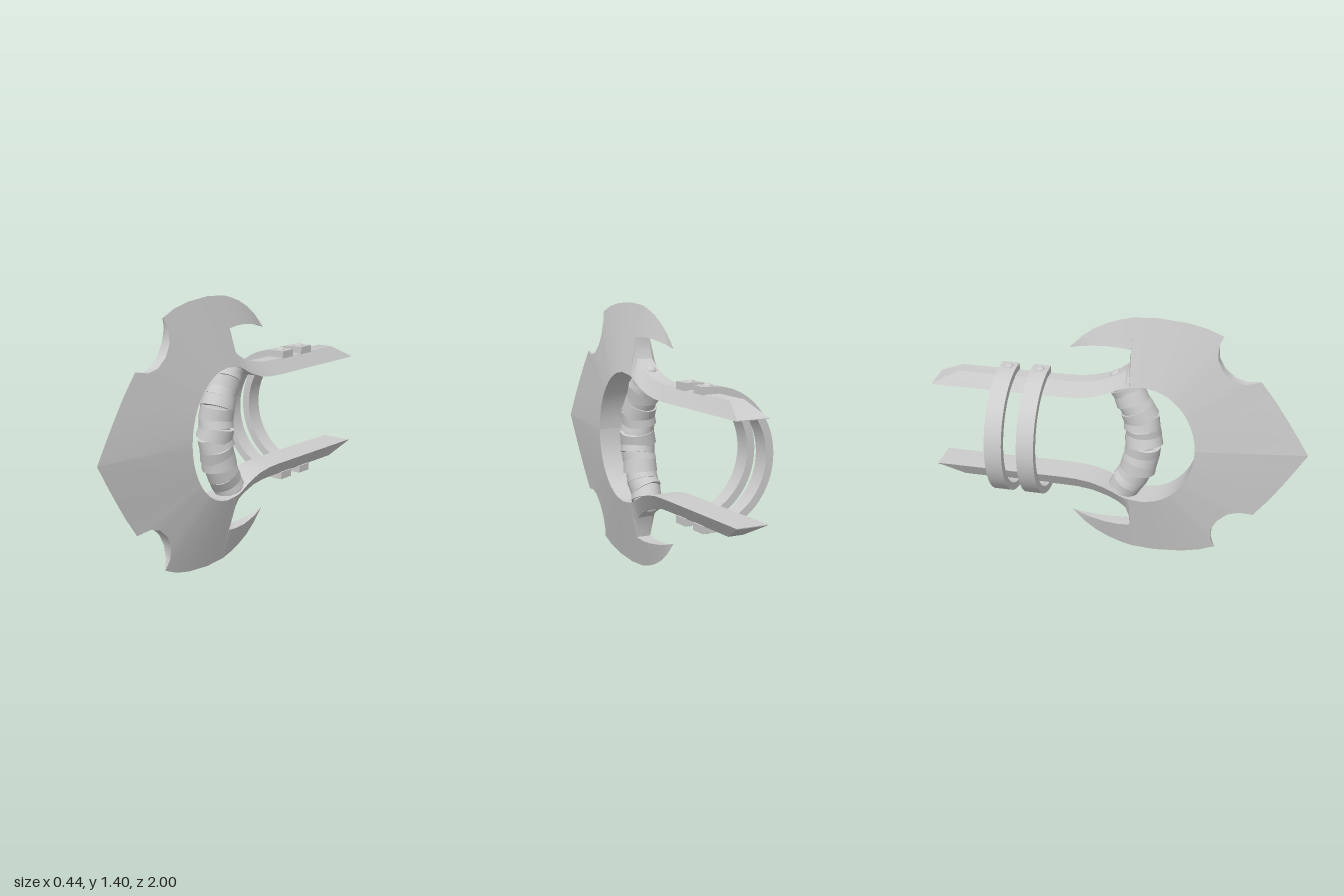
import * as THREE from 'three';
import { toCreasedNormals } from 'three/addons/utils/BufferGeometryUtils.js';

const CX = 0.125, CY = 0.702; // plane of the blade and its mirror height
const FULL = 0.085;           // half thickness at the grip opening

// Loft of four-cornered sections [innerZ, innerY, innerHalf, outerZ, outerY, outerHalf]
function loft(sections, mirrored) {
  const pos = [], index = [];
  for (const [iz, iy, ih, oz, oy, oh] of sections) {
    const m = (y) => (mirrored ? 2 * CY - y : y);
    pos.push(CX + ih, m(iy), iz, CX + oh, m(oy), oz, CX - oh, m(oy), oz, CX - ih, m(iy), iz);
  }
  const tri = (a, b, c) => (mirrored ? index.push(a, c, b) : index.push(a, b, c));
  const last = (sections.length - 1) * 4;
  for (let s = 0; s < last; s += 4) {
    for (let k = 0; k < 4; k++) {
      const n = (k + 1) % 4;
      tri(s + k, s + 4 + k, s + n);
      tri(s + n, s + 4 + k, s + 4 + n);
    }
  }
  tri(0, 1, 2); tri(0, 2, 3);
  tri(last, last + 2, last + 1); tri(last, last + 3, last + 2);
  const g = new THREE.BufferGeometry();
  g.setAttribute('position', new THREE.Float32BufferAttribute(pos, 3));
  g.setIndex(index);
  return toCreasedNormals(g, 0.5);
}

// Front blade: [z, y, half thickness] of the rim, with the angle on the oval opening
const rim = [
  [1, 0.702, 0, 0], [0.945, 0.795, 0, 8], [0.89, 0.883, 0, 16], [0.82, 0.99, 0, 24], [0.735, 1.1, 0.002, 32],
  [0.66, 1.086, 0.018, 38], [0.6, 1.102, 0.025, 43], [0.545, 1.15, 0.027, 48], [0.515, 1.21, 0.024, 53],
  [0.512, 1.28, 0.014, 57], [0.535, 1.333, 0.002, 60], [0.45, 1.368, 0, 67], [0.35, 1.39, 0, 75],
  [0.2, 1.402, 0, 88], [0.07, 1.394, 0, 101.9],
];
const bladeSections = rim.map(([z, y, h, deg]) => {
  const a = THREE.MathUtils.degToRad(deg);
  return [0.13 + 0.29 * Math.cos(a), CY + 0.345 * Math.sin(a), FULL, z, y, h];
});

// Rear hook sweeping to a point
const hookSections = [
  [0.07, 1.232, 0.04, 0.07, 1.394, 0], [0.0, 1.238, 0.037, 0.01, 1.378, 0],
  [-0.07, 1.236, 0.031, -0.06, 1.353, 0], [-0.14, 1.227, 0.022, -0.13, 1.316, 0],
  [-0.2, 1.215, 0.012, -0.195, 1.267, 0], [-0.26, 1.197, 0, -0.26, 1.199, 0],
];

// Neck and straight arm with a bevelled end
const armSections = [
  [0.07, 1.04, FULL, 0.07, 1.232, 0.04], [0.05, 1.036, FULL, 0.064, 1.17, 0.042],
  [0.02, 1.025, FULL, 0.045, 1.12, 0.042], [-0.02, 1.005, FULL, 0.005, 1.088, 0.042],
  [-0.07, 0.982, FULL, -0.05, 1.06, 0.041], [-0.14, 0.96, FULL, -0.14, 1.032, 0.04],
  [-0.22, 0.948, FULL, -0.22, 1.021, 0.04], [-0.3, 0.945, FULL, -0.3, 1.019, 0.04],
  [-0.86, 0.945, FULL, -0.86, 1.019, 0.04], [-1, 0.945, FULL, -1, 0.949, 0.083],
];

export function createModel() {
  const root = new THREE.Group();
  const metal = new THREE.MeshStandardMaterial({ color: 0xcccccc });
  metal.name = 'paleGrey';
  const add = (name, geometry, parent = root) => {
    const mesh = new THREE.Mesh(geometry, metal);
    mesh.name = name;
    parent.add(mesh);
    return mesh;
  };

  // Mirrored upper and lower halves
  for (const low of [false, true]) {
    const side = low ? 'lower' : 'upper';
    const sign = low ? -1 : 1;
    add(side + 'Blade', loft(bladeSections, low));
    add(side + 'Hook', loft(hookSections, low));
    add(side + 'Arm', loft(armSections, low));

    // Domed rivets on the straps and at the grip ends
    const rivet = (name, y, z, r, tilt) => {
      const dome = add(name, new THREE.SphereGeometry(r, 20, 8, 0, Math.PI * 2, 0, Math.PI / 2));
      dome.scale.y = 0.55;
      dome.position.set(CX, CY + sign * (y - CY), z);
      dome.rotation.x = low ? Math.PI - tilt : tilt;
    };
    rivet(side + 'FrontStrapRivet', 1.054, -0.425, 0.025, 0);
    rivet(side + 'RearStrapRivet', 1.054, -0.595, 0.025, 0);
    rivet(side + 'GripRivet', 1.072, -0.022, 0.028, -0.5);
  }

  // Two half-round forearm straps bolted to both arms
  const strap = new THREE.Shape();
  strap.moveTo(0.175, CY + 0.353);
  strap.lineTo(CX, CY + 0.353);
  strap.absellipse(CX, CY, 0.345, 0.353, Math.PI / 2, Math.PI * 1.5, false);
  strap.lineTo(0.175, CY - 0.353);
  strap.lineTo(0.175, CY - 0.314);
  strap.lineTo(CX, CY - 0.314);
  strap.absellipse(CX, CY, 0.303, 0.314, Math.PI * 1.5, Math.PI / 2, true);
  strap.lineTo(0.175, CY + 0.314);
  for (const [name, z] of [['frontStrap', -0.47], ['rearStrap', -0.642]]) {
    const g = new THREE.ExtrudeGeometry(strap, { depth: 0.092, bevelEnabled: false, curveSegments: 28 });
    add(name, toCreasedNormals(g, 0.5)).position.z = z;
  }

  // Curved grip core
  const path = new THREE.CatmullRomCurve3([
    [0.01, 1.035], [0.045, 0.98], [0.095, 0.89], [0.125, 0.8], [0.134, CY],
    [0.125, 0.604], [0.095, 0.514], [0.045, 0.424], [0.01, 0.369],
  ].map(([z, y]) => new THREE.Vector3(CX, y, z)));
  add('gripCore', new THREE.TubeGeometry(path, 40, 0.074, 20, false));

  // Overlapping cloth bands, each tilted a little differently
  const wraps = new THREE.Group();
  wraps.name = 'gripWraps';
  root.add(wraps);
  const count = 13, up = new THREE.Vector3(0, 1, 0);
  for (let i = 0; i < count; i++) {
    const t = 0.07 + (0.86 * i) / (count - 1);
    const r = 0.076 + 0.018 * Math.sin(Math.PI * t) + 0.003 * Math.sin(i * 2.3);
    const band = add('wrapBand', new THREE.CylinderGeometry(r, r * 1.05, 0.07, 24), wraps);
    band.scale.x = 0.9;
    band.position.copy(path.getPointAt(t));
    band.quaternion.setFromUnitVectors(up, path.getTangentAt(t).negate());
    band.rotateX(0.16 * Math.sin(i * 1.9));
    band.rotateZ(0.2 * Math.sin(i * 2.7 + 1));
  }
  return root;
}
